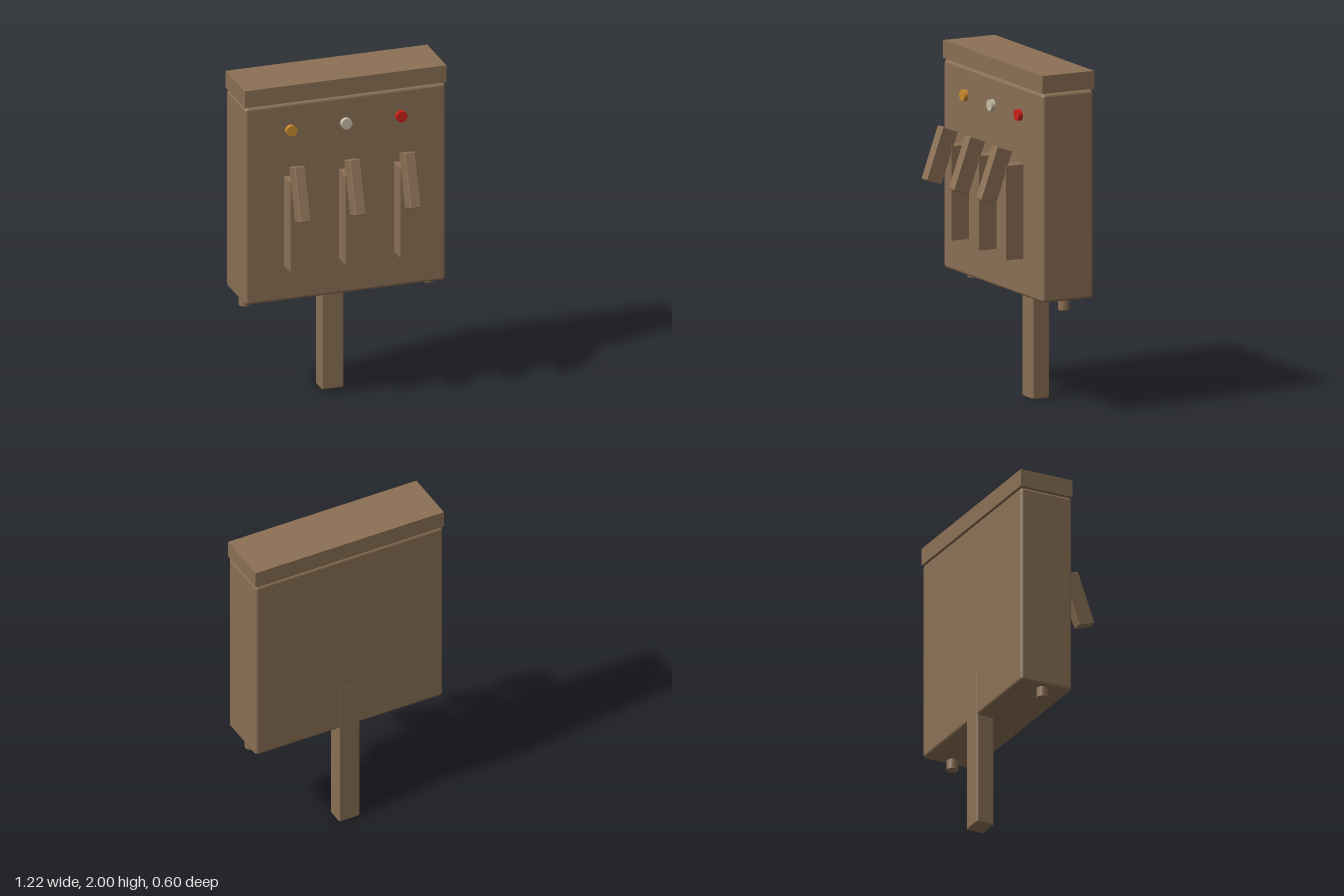
import * as THREE from 'three';
import { RoundedBoxGeometry } from 'three/addons/geometries/RoundedBoxGeometry.js';

export function createModel() {
  const group = new THREE.Group();
  const paint = (name, color) => {
    const m = new THREE.MeshStandardMaterial({ color });
    m.name = name;
    return m;
  };
  const brown = paint('brown', 0x8b7055);
  const amber = paint('amber', 0xc98a2c);
  const ivory = paint('ivory', 0xc8bfa8);
  const red = paint('red', 0xcc2018);

  const add = (name, geometry, material, x, y, z, tilt = 0) => {
    const mesh = new THREE.Mesh(geometry, material);
    mesh.name = name;
    mesh.position.set(x, y, z);
    mesh.rotation.x = tilt;
    group.add(mesh);
    return mesh;
  };

  // Cabinet with its lid
  add('cabinet', new RoundedBoxGeometry(1.216, 1.216, 0.33, 2, 0.02), brown, 0, 1.282, -0.135);
  add('lid', new THREE.BoxGeometry(1.22, 0.105, 0.334), brown, 0, 1.9475, -0.136);

  // Post, running up the back of the cabinet
  add('post', new RoundedBoxGeometry(0.134, 0.97, 0.11, 2, 0.01), brown, 0, 0.485, -0.246);

  // Cable glands under the cabinet
  const gland = new THREE.CylinderGeometry(0.033, 0.033, 0.08, 16);
  for (const side of [-1, 1]) add('gland', gland, brown, side * 0.555, 0.655, -0.135);

  // Three switches, each with a housing, a tilted lever and a lamp
  const housing = new THREE.BoxGeometry(0.08, 0.55, 0.123);
  const lever = new RoundedBoxGeometry(0.066, 0.322, 0.105, 2, 0.006);
  const lamp = new THREE.CylinderGeometry(0.033, 0.033, 0.04, 16);
  [amber, ivory, red].forEach((color, i) => {
    const x = (i - 1) * 0.333;
    add('switchHousing', housing, brown, x, 1.17, 0.0815);
    add('lever', lever, brown, x, 1.393, 0.2, -0.34);
    add('lamp', lamp, color, x, 1.727, 0.037, Math.PI / 2);
  });

  return group;
}
